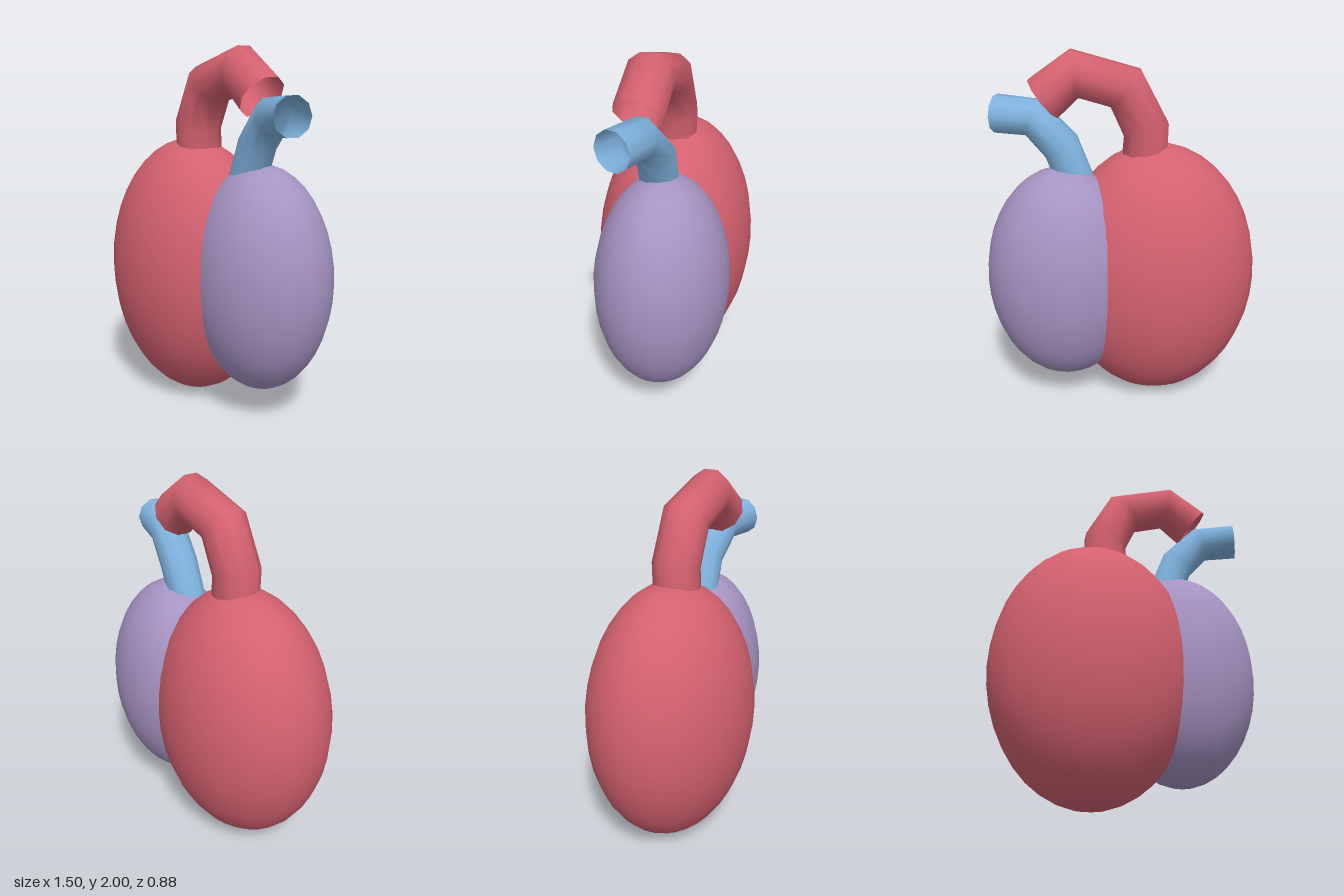
import * as THREE from 'three';

const mat = (name, color, side = THREE.FrontSide) => {
  const m = new THREE.MeshStandardMaterial({ color, side });
  m.name = name;
  return m;
};

// Smooth ellipsoid for a heart chamber
function chamber(name, material, centre, radii) {
  const mesh = new THREE.Mesh(new THREE.SphereGeometry(1, 28, 20), material);
  mesh.name = name;
  mesh.scale.set(...radii);
  mesh.position.set(...centre);
  return mesh;
}

// Open ten-sided pipe through rings of [centre, direction]
function vessel(name, material, radius, rings, sides = 10) {
  const pos = [], index = [];
  rings.forEach(([c, d], i) => {
    const t = new THREE.Vector3(...d).normalize();
    const u = new THREE.Vector3(-t.y, t.x, 0).normalize();
    const v = new THREE.Vector3().crossVectors(t, u);
    for (let j = 0; j < sides; j++) {
      const a = ((j + 0.5) / sides) * Math.PI * 2;
      const p = new THREE.Vector3(...c)
        .addScaledVector(u, radius * Math.cos(a))
        .addScaledVector(v, radius * Math.sin(a));
      pos.push(p.x, p.y, p.z);
      if (i === 0) continue;
      const k = (j + 1) % sides, lo = (i - 1) * sides, hi = i * sides;
      index.push(lo + j, lo + k, hi + j, lo + k, hi + k, hi + j);
    }
  });
  const geo = new THREE.BufferGeometry();
  geo.setAttribute('position', new THREE.Float32BufferAttribute(pos, 3));
  geo.setIndex(index);
  geo.computeVertexNormals();
  const mesh = new THREE.Mesh(geo, material);
  mesh.name = name;
  return mesh;
}

export function createModel() {
  const red = mat('muscle red', 0xd4616f, THREE.DoubleSide);
  const purple = mat('muted purple', 0xa693c2);
  const blue = mat('vein blue', 0x7fb2de, THREE.DoubleSide);

  const heart = new THREE.Group();
  heart.name = 'heart';
  heart.add(
    chamber('largeChamber', red, [-0.19, 0.755, 0], [0.563, 0.75, 0.437]),
    chamber('smallChamber', purple, [0.32, 0.78, -0.085], [0.43, 0.622, 0.357]),
    // Arched vessel rising from the large chamber
    vessel('archVessel', red, 0.128, [
      [[-0.118, 1.36, 0], [0, 1, 0]],
      [[-0.13, 1.585, 0], [0.07, 0.24, 0]],
      [[-0.02, 1.805, 0], [0.19, 0.16, 0]],
      [[0.245, 1.88, 0], [0.24, -0.04, 0]],
      [[0.412, 1.75, 0], [0.19, -0.145, 0]],
    ]),
    // Bent vessel leaning out over the small chamber
    vessel('sideVessel', blue, 0.103, [
      [[0.225, 1.25, -0.05], [0.1, 0.23, 0]],
      [[0.32, 1.508, -0.053], [0.105, 0.16, 0.01]],
      [[0.465, 1.658, -0.025], [0.175, 0.07, 0.03]],
      [[0.667, 1.668, 0.029], [0.96, 0.04, 0.27]],
    ]),
  );
  return heart;
}
